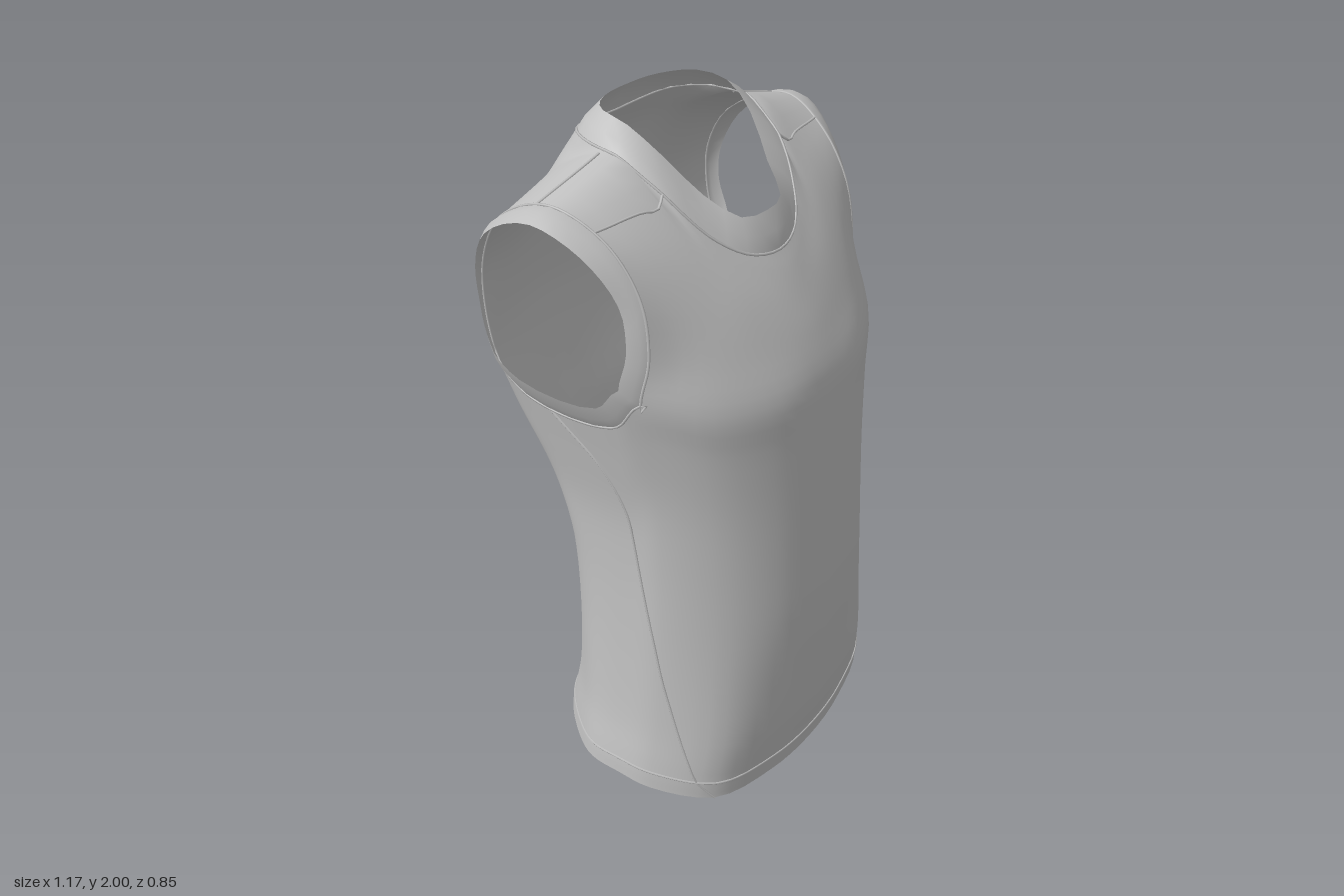
import * as THREE from 'three';
import { mergeGeometries, mergeVertices } from 'three/addons/utils/BufferGeometryUtils.js';

const fabric = new THREE.MeshStandardMaterial({ color: 0xc0c0c0, side: THREE.DoubleSide });
fabric.name = 'grey fabric';

const K = 4; // samples between control points
const V = (x, y, z) => new THREE.Vector3(x, y, z);
const toPoints = list => list.map(p => V(...p));
const flipX = p => V(-p.x, p.y, p.z);
const { lerp, smoothstep } = THREE.MathUtils;

// Spline samples, optionally symmetric about x = 0 at either end
function spline(pts, k, mirrorStart = false, mirrorEnd = false) {
  const all = [...pts];
  if (mirrorStart) all.unshift(flipX(pts[1]));
  if (mirrorEnd) all.push(flipX(pts[pts.length - 2]));
  const curve = new THREE.CatmullRomCurve3(all);
  const first = mirrorStart ? 1 : 0, out = [];
  for (let i = 0; i <= (pts.length - 1) * k; i++) out.push(curve.getPoint((first + i / k) / (all.length - 1)));
  return out;
}

// Surface through columns of points
function sheet(cols) {
  const n = cols[0].length, index = [];
  for (let j = 0; j < cols.length - 1; j++) for (let r = 0; r < n - 1; r++) {
    const a = j * n + r, b = a + n;
    index.push(a, b, b + 1, a, b + 1, a + 1);
  }
  const g = new THREE.BufferGeometry().setFromPoints(cols.flat());
  g.setIndex(index);
  return g;
}

function mirrored(g) {
  const m = g.clone().scale(-1, 1, 1), a = m.index.array;
  for (let i = 0; i < a.length; i += 3) [a[i + 1], a[i + 2]] = [a[i + 2], a[i + 1]];
  return m;
}

// Weld sheets and their mirror images into one smooth mesh
function bothSides(name, sheets) {
  const g = mergeVertices(mergeGeometries([...sheets, ...sheets.map(mirrored)]), 1e-4);
  g.computeVertexNormals();
  const mesh = new THREE.Mesh(g, fabric);
  mesh.name = name;
  return mesh;
}

// Torso rings: height fraction, half width, front depth, back depth
const rings = [
  [0, 0.535, 0.385, 0.39], [0.045, 0.53, 0.39, 0.375], [0.15, 0.505, 0.41, 0.338],
  [0.3, 0.485, 0.42, 0.305], [0.45, 0.472, 0.425, 0.29], [0.6, 0.465, 0.418, 0.285],
  [0.75, 0.468, 0.407, 0.315], [0.9, 0.495, 0.393, 0.37], [1, 0.518, 0.382, 0.403],
];
const hemY = [0, 0.01, 0.035, 0.07, 0.085, 0.08, 0.07, 0.055, 0.04, 0.04];
const armpitY = [1.33, 1.335, 1.355, 1.4, 1.318, 1.312, 1.39, 1.37, 1.36, 1.36];

function torsoRing([t, w, f, b]) {
  const up = smoothstep(t, 0.4, 1), low = 1 - smoothstep(t, 0, 0.55);
  const mix = (hem, waist, arm) => waist + (hem - waist) * low + (arm - waist) * up;
  const shape = [[0, 1], [0.38, 0.96], [mix(0.77, 0.74, 0.74), mix(0.8, 0.74, 0.74)], [0.97, 0.38],
    [1, mix(0.1, 0.1, 0.19)], [mix(0.985, 0.99, 1), mix(-0.18, -0.25, -0.55)],
    [mix(0.89, 0.92, 0.97), mix(-0.42, -0.53, -0.84)], [mix(0.65, 0.71, 0.72), mix(-0.77, -0.83, -0.96)],
    [mix(0.34, 0.38, 0.38), mix(-0.95, -0.96, -0.99)], [0, -1]];
  const pts = shape.map(([x, z], i) => V(x * w, lerp(hemY[i], armpitY[i], t), z * (z > 0 ? f : b)));
  return spline(pts, K, true, true);
}

// Chest and upper back rows, centre to armhole
const frontRows = [
  [[0, 1.45, 0.337], [0.2, 1.46, 0.31], [0.34, 1.48, 0.26], [0.483, 1.52, 0.16]],
  [[0, 1.54, 0.29], [0.18, 1.58, 0.25], [0.31, 1.62, 0.2], [0.475, 1.67, 0.135]],
  [[0, 1.61, 0.25], [0.185, 1.68, 0.18], [0.3, 1.78, 0.09], [0.485, 1.8, 0.045]],
];
const backRows = [
  [[0, 1.48, -0.42], [0.2, 1.48, -0.418], [0.36, 1.49, -0.405], [0.497, 1.52, -0.37]],
  [[0, 1.68, -0.408], [0.2, 1.67, -0.405], [0.34, 1.66, -0.39], [0.492, 1.66, -0.365]],
  [[0, 1.82, -0.375], [0.2, 1.83, -0.353], [0.32, 1.845, -0.285], [0.495, 1.79, -0.29]],
];
// Neck seam, centre to shoulder, and collar edge, front to back
const neckFront = [[0, 1.655, 0.22], [0.11, 1.675, 0.195], [0.2, 1.745, 0.13], [0.26, 1.85, 0.04], [0.285, 1.93, -0.08]];
const neckBack = [[0, 1.92, -0.315], [0.1, 1.925, -0.31], [0.2, 1.935, -0.28], [0.268, 1.94, -0.19], [0.285, 1.93, -0.08]];
const collarEdge = [[0, 1.755, 0.18], [0.09, 1.76, 0.16], [0.145, 1.82, 0.08], [0.195, 1.92, -0.01], [0.215, 1.985, -0.1],
  [0.2, 2, -0.19], [0.15, 2, -0.24], [0.08, 2, -0.265], [0, 2, -0.27]];
const shoulderTip = V(0.51, 1.87, -0.1);

function topRow(neck) {
  const row = spline(toPoints(neck), 2, true);
  const start = row[8];
  for (let i = 1; i <= 4; i++) row.push(start.clone().lerp(shoulderTip, i / 4));
  return row;
}

export function createModel() {
  const model = new THREE.Group();
  model.name = 'sleevelessShirt';

  // Control rows: 0-12 front, 12-24 under the arm, 24-36 back
  const lower = rings.map(torsoRing);
  const upper = (rows, neck) => [...rows.map(r => spline(toPoints(r), K, true)), topRow(neck)];
  const upF = upper(frontRows, neckFront), upB = upper(backRows, neckBack);

  // Columns run from hem to neck, or over the shoulder and down the back
  const front = [], back = [], under = [];
  for (let j = 0; j <= 12; j++) {
    const cf = [...lower.map(r => r[j]), ...upF.map(r => r[j])];
    const cb = [...lower.map(r => r[36 - j]), ...upB.map(r => r[j])];
    if (j < 8) {
      front.push(spline(cf, K));
      back.push(spline(cb, K));
    } else {
      const over = spline([...cf, ...cb.reverse().slice(1)], K);
      front.push(over.slice(0, 49));
      back.push(over.slice(48).reverse());
    }
  }
  const armRow = 32, hemRow = 4;
  under.push(front[12].slice(0, armRow + 1));
  for (let j = 13; j < 24; j++) under.push(spline(lower.map(r => r[j]), K));
  under.push(back[12].slice(0, armRow + 1));
  const backCols = [...back].reverse();

  const part = (a, b) => [front, under, backCols].map(cols => sheet(cols.map(c => c.slice(a, b))));
  model.add(bothSides('body', part(hemRow)));
  model.add(bothSides('hemBand', part(0, hemRow + 1)));

  // Band between a seam and a free edge, slightly rounded about a centre
  const band = (seam, edge, centre, axis) => sheet(seam.map((p, i) => {
    const mid = p.clone().lerp(edge[i], 0.5);
    const out = mid.clone().sub(centre);
    out[axis] = 0;
    return [p, mid.add(out.setLength(0.008)), edge[i]];
  }));

  // Collar
  const neckSeam = [...front.slice(0, 9), ...backCols.slice(5)].map(c => c[48]);
  const collar = band(neckSeam, spline(toPoints(collarEdge), 2, true, true), V(0, 0, -0.06), 'y');
  model.add(bothSides('collar', [collar]));

  // Armhole bands
  const armSeam = [
    ...front[12].slice(armRow),
    ...back[12].slice(armRow, 48).reverse(),
    ...under.slice(0, 12).map(c => c[armRow]).reverse(),
  ].reverse();
  armSeam.push(armSeam[0]);
  const armEdge = armSeam.map(p => V(
    p.x + 0.035 + 0.04 * smoothstep(p.y, p.z > -0.12 ? 1.62 : 1.52, 1.87),
    1.61 + (p.y - 1.61) * (p.y < 1.61 ? 0.78 : 0.92),
    -0.12 + (p.z + 0.12) * (p.z > -0.12 ? 0.85 : 0.92)));
  model.add(bothSides('armholeBand', [band(armSeam, armEdge, V(0, 1.61, -0.12), 'x')]));

  // Raised seams
  const seam = (name, pts, closed = false) => {
    const curve = new THREE.CatmullRomCurve3(pts, closed);
    const mesh = new THREE.Mesh(new THREE.TubeGeometry(curve, pts.length * 2, 0.004, 5, closed), fabric);
    mesh.name = name;
    model.add(mesh);
  };
  const loop = half => [...half, ...half.slice(1, -1).reverse().map(flipX)];
  const around = [...front, ...under.slice(1, -1), ...backCols];
  seam('neckSeam', loop(neckSeam), true);
  seam('hemSeam', loop(around.map(c => c[hemRow])), true);

  // Side seam slants from the armpit to the front of the hem
  const sideSeam = [];
  for (let r = 0; r <= armRow; r += 2) {
    const c = lerp(8, 18.9, Math.pow(r / armRow, 1.05)), j = Math.floor(c);
    sideSeam.push(around[j][r].clone().lerp(around[j + 1][r], c - j));
  }
  const pairs = {
    sideSeam,
    armholeSeam: armSeam.slice(0, -1),
    frontShoulderSeam: [front[6][48], ...front.slice(8).map(c => c[45])],
    backShoulderSeam: back.slice(8).map(c => c[47]),
  };
  for (const [name, pts] of Object.entries(pairs)) {
    const closed = name === 'armholeSeam';
    seam(name + 'Left', pts, closed);
    seam(name + 'Right', pts.map(flipX), closed);
  }
  return model;
}
